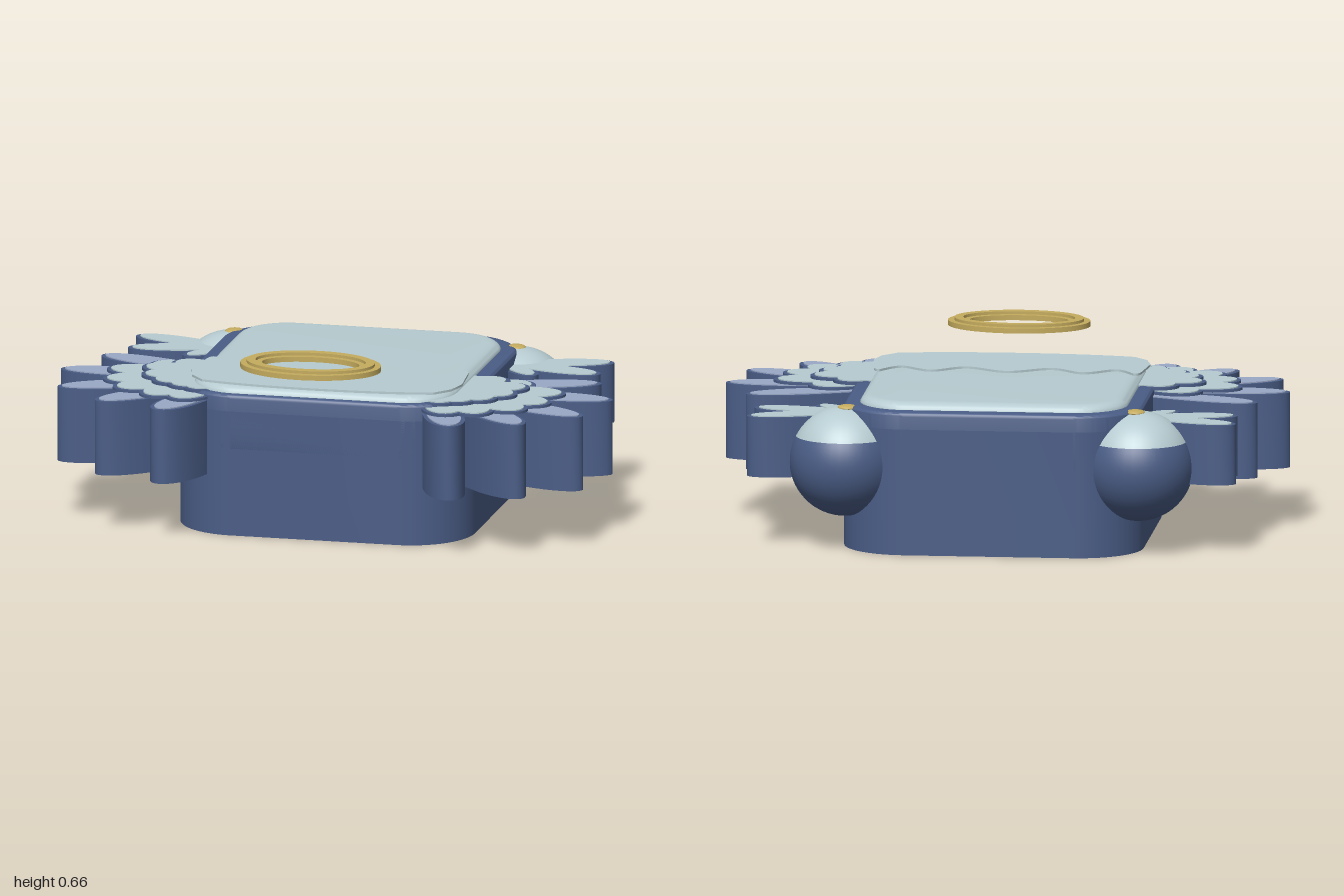
import * as THREE from 'three';
import { toCreasedNormals } from 'three/addons/utils/BufferGeometryUtils.js';

const material = (name, color) => new THREE.MeshStandardMaterial({ name, color });

// Rounded rectangle in plan (x, z)
function roundedRect(x0, x1, z0, z1, r) {
  const s = new THREE.Shape();
  s.moveTo(x0 + r, z0);
  s.lineTo(x1 - r, z0);
  s.absarc(x1 - r, z0 + r, r, -Math.PI / 2, 0);
  s.lineTo(x1, z1 - r);
  s.absarc(x1 - r, z1 - r, r, 0, Math.PI / 2);
  s.lineTo(x0 + r, z1);
  s.absarc(x0 + r, z1 - r, r, Math.PI / 2, Math.PI);
  s.lineTo(x0, z0 + r);
  s.absarc(x0 + r, z0 + r, r, Math.PI, Math.PI * 1.5);
  return s;
}

// Feather outline in plan: narrow at the root, round at the tip
function petal([rx, rz], [tx, tz], half, side, inset = 0) {
  const len = Math.hypot(tx - rx, tz - rz);
  const dx = (tx - rx) / len, dz = (tz - rz) / len;
  const points = [];
  for (let i = 0; i < 40; i++) {
    const a = (i / 40) * Math.PI * 2;
    const t = (1 - Math.cos(a)) / 2;
    const along = t * (len - inset);
    const h = (half - inset) * Math.sin(a) * (0.6 + 0.5 * t);
    points.push(new THREE.Vector2(side * (rx + dx * along - dz * h), rz + dz * along + dx * h));
  }
  return new THREE.Shape(points);
}

// Plan shape raised from y0 to y1, with an optional rounded edge
function slab(shape, y0, y1, bevel = 0, bevelWidth = bevel) {
  const g = new THREE.ExtrudeGeometry(shape, {
    depth: y1 - y0 - 2 * bevel, curveSegments: 20, bevelEnabled: bevel > 0,
    bevelThickness: bevel, bevelSize: bevelWidth, bevelOffset: -bevelWidth, bevelSegments: 6,
  });
  g.rotateX(Math.PI / 2);
  g.translate(0, y1 - bevel, 0);
  return toCreasedNormals(g, 0.6);
}

export function createModel() {
  const model = new THREE.Group();
  const blue = material('slate blue', 0x4a5d86);
  const pale = material('pale blue grey', 0xb6cbd0);
  const lavender = material('lavender grey', 0x9aa8c6);
  const gold = material('gold', 0xc4ab5e);

  const add = (parent, name, geometry, mat) => {
    const mesh = new THREE.Mesh(geometry, mat);
    mesh.name = name;
    parent.add(mesh);
    return mesh;
  };

  // Body: sharp at the foot, softened at the top edge
  const plan = () => roundedRect(-0.53, 0.53, -0.615, 0.455, 0.23);
  add(model, 'body', slab(plan(), 0, 0.45), blue);
  add(model, 'bodyTop', slab(plan(), 0.3, 0.51, 0.015), blue);
  add(model, 'topPanel', slab(roundedRect(-0.475, 0.475, -0.56, 0.43, 0.18), 0.4, 0.536, 0.03, 0.045), pale);

  // Bib with a wavy back edge
  const wave = [[-0.45, 0.055], [-0.38, 0.135], [-0.27, 0.065], [-0.15, 0.14], [0, 0.065],
    [0.15, 0.14], [0.27, 0.065], [0.38, 0.135], [0.45, 0.055]].map(([x, z]) => new THREE.Vector2(x, z));
  const bib = new THREE.Shape();
  bib.moveTo(-0.45, 0.055);
  bib.splineThru(wave.slice(1));
  bib.quadraticCurveTo(0.47, 0.05, 0.475, 0.1);
  bib.lineTo(0.49, 0.25);
  bib.lineTo(0.47, 0.33);
  bib.lineTo(0.42, 0.39);
  bib.quadraticCurveTo(0.25, 0.43, 0, 0.43);
  bib.quadraticCurveTo(-0.25, 0.43, -0.42, 0.39);
  bib.lineTo(-0.47, 0.33);
  bib.lineTo(-0.49, 0.25);
  bib.lineTo(-0.475, 0.1);
  bib.quadraticCurveTo(-0.47, 0.05, -0.45, 0.055);
  add(model, 'bib', slab(bib, 0.537, 0.545), pale);

  // Floating oval ring in two steps
  const halo = new THREE.Group();
  halo.name = 'halo';
  model.add(halo);
  const ovalRing = (a, b, ia, ib) => {
    const s = new THREE.Shape();
    s.absellipse(0, 0.495, a, b, 0, Math.PI * 2);
    const hole = new THREE.Path();
    hole.absellipse(0, 0.495, ia, ib, 0, Math.PI * 2, true);
    s.holes.push(hole);
    return s;
  };
  add(halo, 'haloBase', slab(ovalRing(0.252, 0.173, 0.175, 0.095), 0.633, 0.651), gold);
  add(halo, 'haloRim', slab(ovalRing(0.23, 0.15, 0.198, 0.117), 0.65, 0.661), gold);

  // Feather layout for one side: [root, tip, half width]
  const longFeathers = [
    [[0.4, 0.03], [0.905, -0.13], 0.075],
    [[0.4, 0.1], [1.0, 0.1], 0.08],
    [[0.4, 0.14], [0.95, 0.36], 0.08],
    [[0.4, 0.18], [0.77, 0.53], 0.08],
    [[0.38, 0.24], [0.535, 0.612], 0.08],
  ];
  const middleFeathers = [[0.69, -0.02], [0.83, 0.1], [0.81, 0.26], [0.74, 0.385], [0.61, 0.47], [0.49, 0.5]]
    .map(tip => [[0.4, 0.15], tip, 0.1]);
  const shortFeathers = [[0.5, -0.01], [0.6, 0], [0.7, 0.1], [0.68, 0.22], [0.62, 0.31], [0.54, 0.37], [0.46, 0.41]]
    .map(tip => [[0.36, 0.18], tip, 0.09]);
  const armFeathers = [
    [[0.48, -0.38], [0.865, -0.49], 0.068],
    [[0.48, -0.38], [0.855, -0.31], 0.068],
    [[0.48, -0.39], [0.635, -0.235], 0.05],
    [[0.5, -0.4], [0.74, -0.39], 0.06],
  ];

  for (const side of [1, -1]) {
    const label = side > 0 ? 'left' : 'right';

    // Feather layer: blue base with a smaller coloured face on top
    const layer = (name, feathers, y0, y1, face) => {
      const group = new THREE.Group();
      group.name = label + name;
      model.add(group);
      for (const [root, tip, half] of feathers) {
        add(group, 'featherBase', slab(petal(root, tip, half, side), y0, y1), blue);
        add(group, 'featherFace', slab(petal(root, tip, half, side, 0.015), y1, y1 + 0.004), face);
      }
    };
    layer('LongFeathers', longFeathers, 0.213, 0.481, lavender);
    layer('MiddleFeathers', middleFeathers, 0.486, 0.495, pale);
    layer('ShortFeathers', shortFeathers, 0.501, 0.511, pale);
    layer('ArmFeathers', armFeathers, 0.253, 0.467, pale);

    // Round shoulder with a pale cap and a gold bead
    const shoulder = new THREE.Group();
    shoulder.name = label + 'Shoulder';
    shoulder.position.set(side * 0.52, 0.311, -0.475);
    model.add(shoulder);
    const split = Math.acos(0.09 / 0.195);
    add(shoulder, 'shoulderBall', new THREE.SphereGeometry(0.195, 40, 24, 0, Math.PI * 2, split, Math.PI - split), blue);
    add(shoulder, 'shoulderCap', new THREE.SphereGeometry(0.195, 40, 12, 0, Math.PI * 2, 0, split), pale);
    const bead = add(shoulder, 'bead', new THREE.SphereGeometry(0.035, 24, 12), gold);
    bead.scale.y = 0.3;
    bead.position.set(-side * 0.01, 0.192, -0.01);
  }
  return model;
}
